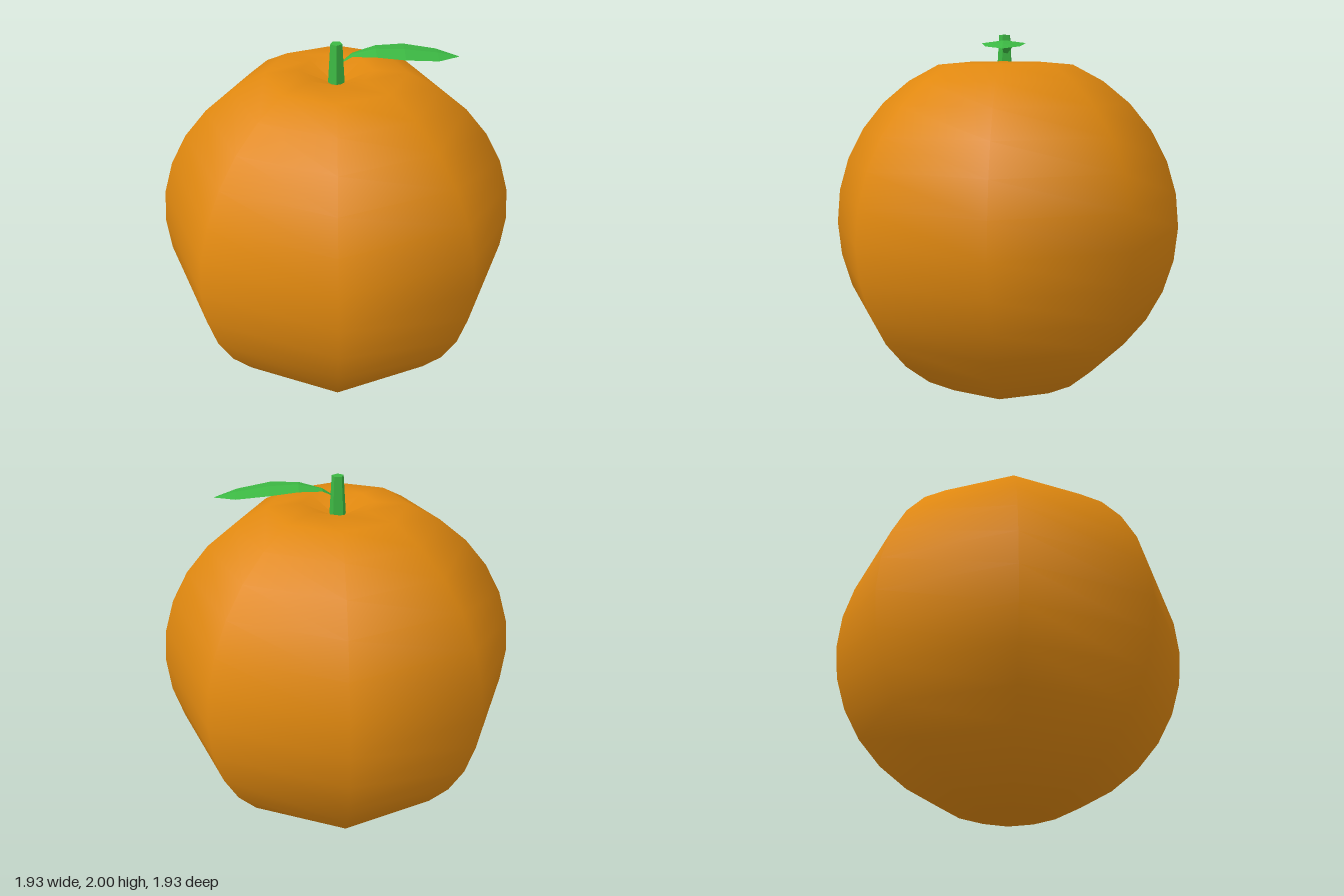
import * as THREE from 'three';

const RINGS = 16, RADIUS = 0.965, CENTRE = 0.95;

// Eight-sided smooth fruit with a dimple around the stem and a flat base
function makeFruit(material) {
  const profile = [];
  for (let i = 0; i <= RINGS; i++) {
    const a = (i / RINGS) * Math.PI;
    const r = i === 0 || i === RINGS ? 0 : Math.sin(a) * RADIUS;
    let y = Math.max(0, CENTRE - Math.cos(a) * RADIUS);
    if (i === 1) y = 0;
    if (i === RINGS - 1) y = 1.857;
    if (i === RINGS) y = 1.775;
    profile.push(new THREE.Vector2(r, y));
  }
  const fruit = new THREE.Mesh(new THREE.LatheGeometry(profile, 8), material);
  fruit.name = 'fruit';
  return fruit;
}

// Tapered five-sided stem
function makeStem(material) {
  const geometry = new THREE.CylinderGeometry(0.032, 0.047, 0.24, 5).toNonIndexed();
  geometry.computeVertexNormals();
  const stem = new THREE.Mesh(geometry, material);
  stem.position.y = 1.88;
  stem.name = 'stem';
  return stem;
}

// Thin leaf with a slight ridge, lofted through cross-sections
function makeLeaf(material) {
  // x, back z, front z, edge y, ridge y
  const sections = [
    [0.03, -0.015, 0.005, 1.9, 1.903],
    [0.08, -0.045, 0.01, 1.932, 1.938],
    [0.2, -0.1, 0.062, 1.95, 1.964],
    [0.345, -0.135, 0.088, 1.945, 1.959],
    [0.515, -0.117, 0.052, 1.924, 1.937],
    [0.63, -0.04, -0.04, 1.911, 1.911],
  ];
  const positions = [], index = [];
  sections.forEach(([x, back, front, edge, ridge], i) => {
    positions.push(x, edge, back, x, ridge, (back + front) / 2, x, edge, front);
    if (i === sections.length - 1) return;
    for (let j = 0; j < 2; j++) {
      const a = i * 3 + j, b = a + 3;
      index.push(a, a + 1, b);
      if (i < sections.length - 2) index.push(a + 1, b + 1, b);
      else index.push(a + 1, b + 1, b);
    }
  });
  const indexed = new THREE.BufferGeometry();
  indexed.setAttribute('position', new THREE.Float32BufferAttribute(positions, 3));
  indexed.setIndex(index);
  const geometry = indexed.toNonIndexed();
  geometry.computeVertexNormals();
  const leaf = new THREE.Mesh(geometry, material);
  leaf.name = 'leaf';
  return leaf;
}

export function createModel() {
  const orange = new THREE.MeshStandardMaterial({ color: 0xe0880f });
  orange.name = 'orange peel';
  const green = new THREE.MeshStandardMaterial({ color: 0x3cb843, side: THREE.DoubleSide });
  green.name = 'leaf green';

  const model = new THREE.Group();
  model.name = 'orangeFruit';
  model.add(makeFruit(orange), makeStem(green), makeLeaf(green));
  return model;
}
